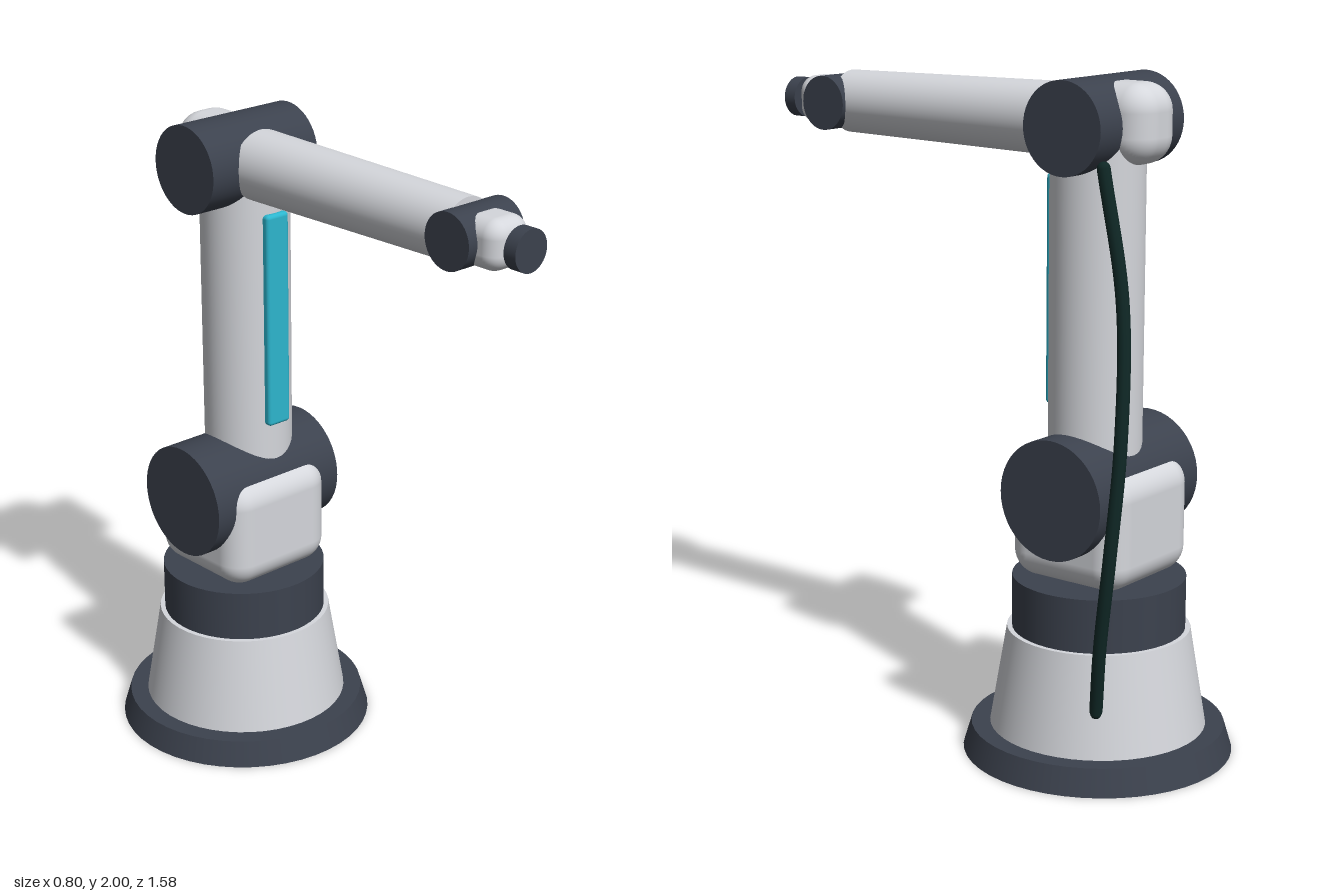
import * as THREE from 'three';
import { RoundedBoxGeometry } from 'three/addons/geometries/RoundedBoxGeometry.js';

export function createModel() {
  const robot = new THREE.Group();
  robot.name = 'robotArm';

  const material = (name, color) => {
    const m = new THREE.MeshStandardMaterial({ color });
    m.name = name;
    return m;
  };
  const shell = material('lightGreyShell', 0xd5d7dc);
  const joint = material('slateJoint', 0x3c424e);
  const accent = material('cyanAccent', 0x2db6ce);
  const rubber = material('darkCable', 0x0f2725);

  const add = (name, geometry, mat, x, y, z) => {
    const mesh = new THREE.Mesh(geometry, mat);
    mesh.name = name;
    mesh.position.set(x, y, z);
    robot.add(mesh);
    return mesh;
  };
  // Cylinder along an axis, centred at the given position
  const cylinder = (name, mat, axis, rTop, rBottom, length, x, y, z) => {
    const g = new THREE.CylinderGeometry(rTop, rBottom, length, 48);
    if (axis === 'x') g.rotateZ(-Math.PI / 2);
    if (axis === 'z') g.rotateX(Math.PI / 2);
    return add(name, g, mat, x, y, z);
  };
  const roundedBox = (name, mat, w, h, d, r, x, y, z) =>
    add(name, new RoundedBoxGeometry(w, h, d, 6, r), mat, x, y, z);

  const baseZ = -0.39;
  const shoulderY = 0.815;
  const elbowY = 1.867;

  // Base and turntable
  cylinder('basePlate', joint, 'y', 0.378, 0.402, 0.08, 0, 0.04, baseZ);
  cylinder('basePedestal', shell, 'y', 0.272, 0.322, 0.3, 0, 0.23, baseZ);
  cylinder('turntable', joint, 'y', 0.257, 0.257, 0.16, 0, 0.46, baseZ);

  // Shoulder
  roundedBox('shoulderHousing', shell, 0.4, 0.35, 0.4, 0.08, 0, 0.72, baseZ);
  cylinder('shoulderJoint', joint, 'x', 0.177, 0.177, 0.49, 0, shoulderY, baseZ);

  // Upper arm with its accent strip
  cylinder('upperArm', shell, 'y', 0.137, 0.137, 1.03, 0.028, 1.33, baseZ);
  roundedBox('accentStrip', accent, 0.085, 0.675, 0.04, 0.012, 0.028, 1.383, -0.257);

  // Elbow
  cylinder('elbowJoint', joint, 'x', 0.133, 0.133, 0.404, 0, elbowY, baseZ);
  roundedBox('elbowHousing', shell, 0.2, 0.23, 0.23, 0.08, 0, 1.873, -0.475);

  // Forearm, wrist and tool flange
  cylinder('forearm', shell, 'z', 0.095, 0.107, 0.84, 0, elbowY, 0.14);
  cylinder('wristJoint', joint, 'x', 0.082, 0.082, 0.214, 0, elbowY, 0.587);
  roundedBox('wristHousing', shell, 0.15, 0.146, 0.15, 0.05, 0, elbowY, 0.659);
  cylinder('toolFlange', joint, 'z', 0.061, 0.061, 0.042, 0, elbowY, 0.77);

  // Cable hanging from elbow to base
  const path = new THREE.CatmullRomCurve3([
    [0.175, 1.765, -0.515], [0.187, 1.4, -0.593], [0.237, 1.02, -0.628],
    [0.268, 0.7, -0.618], [0.262, 0.42, -0.583], [0.238, 0.215, -0.555],
  ].map((p) => new THREE.Vector3(...p)));
  add('cable', new THREE.TubeGeometry(path, 48, 0.02, 10), rubber, 0, 0, 0);
  [0, 1].forEach((t) => {
    const p = path.getPoint(t);
    add('cableEnd', new THREE.SphereGeometry(0.02, 10, 8), rubber, p.x, p.y, p.z);
  });

  return robot;
}
